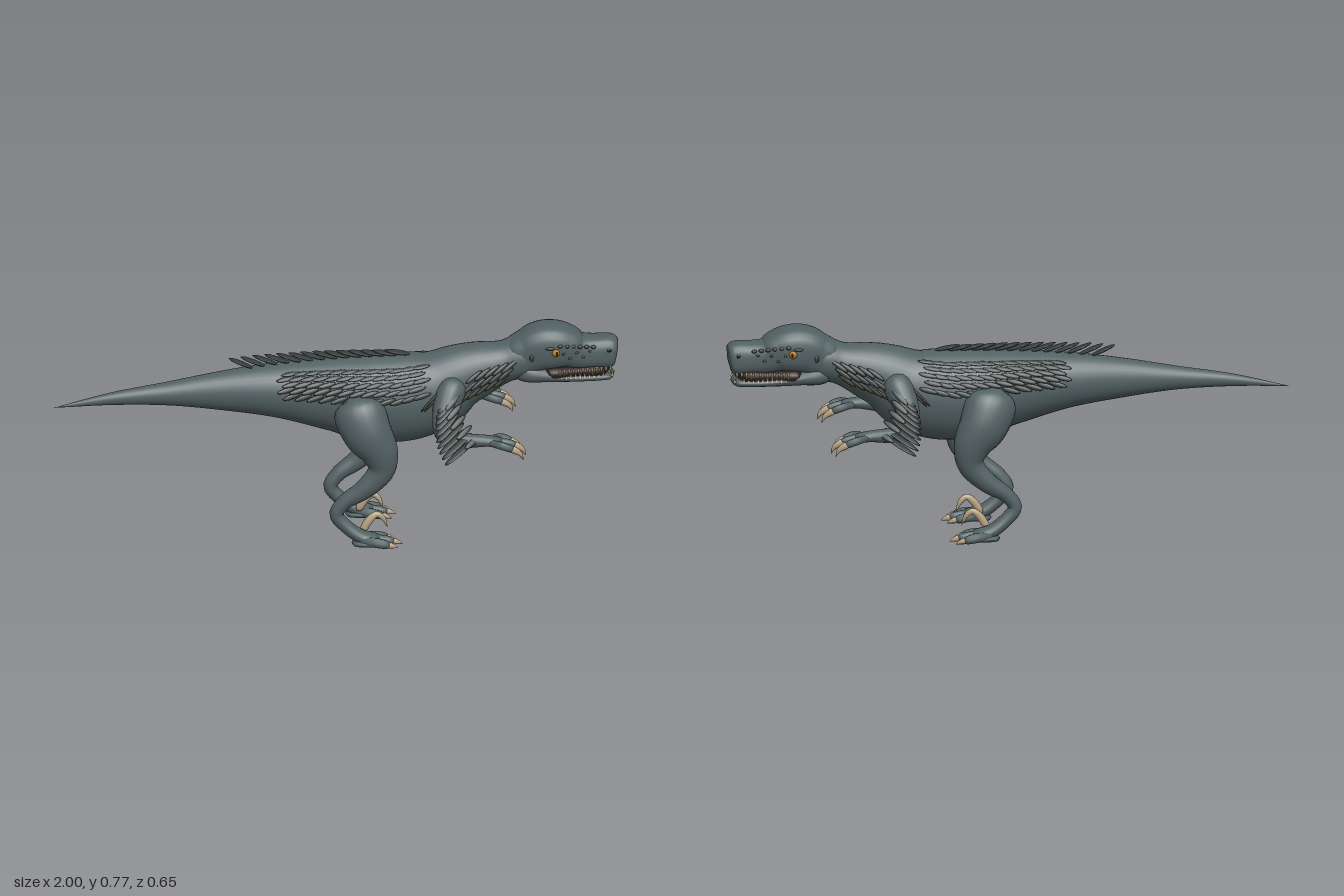
import * as THREE from 'three';
import { mergeVertices } from 'three/addons/utils/BufferGeometryUtils.js';

const mat = (name, color) => Object.assign(new THREE.MeshStandardMaterial({ color }), { name });
const V = (x, y, z) => new THREE.Vector3(x, y, z);
const sphere = new THREE.SphereGeometry(1, 10, 8);

// Tapered tube through points [x, y, z, vertical radius, side radius]; power > 2 squares the section
function limb(name, material, pts, { steps = 32, sides = 18, power = 2 } = {}) {
  const path = new THREE.CatmullRomCurve3(pts.map(p => V(p[0], p[1], p[2])));
  const radii = new THREE.CatmullRomCurve3(pts.map(p => V(p[3], p[4] ?? p[3], 0)), false, 'catmullrom', 0.5);
  const geo = new THREE.TubeGeometry(path, steps, 1, sides);
  const pos = geo.attributes.position, nor = geo.attributes.normal;
  for (let i = 0; i <= steps; i++) {
    const t = path.getUtoTmapping(i / steps);
    const c = path.getPoint(t), r = radii.getPoint(t);
    if (r.x < 0.0005) r.set(0, 0, 0);
    for (let j = 0; j <= sides; j++) {
      const k = i * (sides + 1) + j;
      const n = V(nor.getX(k), nor.getY(k), nor.getZ(k));
      const f = 1 / Math.pow(Math.pow(Math.hypot(n.x, n.y), power) + Math.pow(Math.abs(n.z), power), 1 / power);
      pos.setXYZ(k, c.x + n.x * r.x * f, c.y + n.y * r.x * f, c.z + n.z * r.y * f);
    }
  }
  geo.deleteAttribute('normal');
  geo.deleteAttribute('uv');
  const smooth = mergeVertices(geo, 1e-5);
  smooth.computeVertexNormals();
  const mesh = new THREE.Mesh(smooth, material);
  mesh.name = name;
  return mesh;
}

// Flattened ellipsoid starting at base and running along dir, facing normal
function feather(name, material, base, dir, normal, length, width, thick = 0.006) {
  const d = dir.clone().normalize();
  const side = normal.clone().cross(d).normalize();
  const up = d.clone().cross(side);
  const mesh = new THREE.Mesh(sphere, material);
  mesh.name = name;
  mesh.quaternion.setFromRotationMatrix(new THREE.Matrix4().makeBasis(d, side, up));
  mesh.scale.set(length / 2, width / 2, thick / 2);
  mesh.position.copy(base).addScaledVector(d, length / 2);
  return mesh;
}

function ball(name, material, x, y, z, rx, ry, rz) {
  const mesh = new THREE.Mesh(sphere, material);
  mesh.name = name;
  mesh.position.set(x, y, z);
  mesh.scale.set(rx, ry, rz);
  return mesh;
}

// Trunk sections: x, centre y, z, half height, half width
const BODY = [
  [-1, 0.5, 0, 0, 0], [-0.8, 0.528, 0, 0.022, 0.02], [-0.6, 0.542, 0, 0.042, 0.038],
  [-0.4, 0.548, 0, 0.072, 0.06], [-0.2, 0.545, 0, 0.102, 0.088], [0, 0.525, 0, 0.138, 0.113],
  [0.12, 0.508, 0, 0.16, 0.125], [0.25, 0.507, 0, 0.163, 0.125], [0.35, 0.53, 0, 0.148, 0.115],
  [0.44, 0.578, 0, 0.118, 0.1], [0.52, 0.607, 0, 0.098, 0.088], [0.6, 0.63, 0, 0.075, 0.075],
  [0.68, 0.65, 0, 0.075, 0.07], [0.74, 0.65, 0, 0, 0],
];
const trunkAt = x => {
  const i = Math.max(1, BODY.findIndex(s => s[0] >= x));
  const a = BODY[i - 1], b = BODY[i], t = (x - a[0]) / (b[0] - a[0]);
  return { y: a[1] + (b[1] - a[1]) * t, h: a[3] + (b[3] - a[3]) * t, w: a[4] + (b[4] - a[4]) * t };
};

export function createModel() {
  const skin = mat('slate skin', 0x526062), plume = mat('dark plumage', 0x363f3e);
  const quill = mat('olive quill', 0x3d3f31), claw = mat('tan claw', 0xb5a182);
  const tooth = mat('ivory tooth', 0xcfc09a), mouth = mat('dark mouth', 0x2b1d1c);
  const amber = mat('amber eye', 0xb87a18), black = mat('black pupil', 0x101010);
  const model = new THREE.Group();
  model.name = 'featheredDinosaur';
  const group = name => { const g = new THREE.Group(); g.name = name; model.add(g); return g; };

  model.add(limb('trunk', skin, BODY, { steps: 90, sides: 32 }));

  // Head, lower jaw and mouth lining
  const head = group('head');
  head.add(limb('skull', skin, [
    [0.58, 0.64, 0, 0, 0], [0.62, 0.642, 0, 0.06, 0.058], [0.68, 0.664, 0, 0.076, 0.074], [0.73, 0.685, 0, 0.083, 0.082],
    [0.78, 0.688, 0, 0.081, 0.083], [0.82, 0.68, 0, 0.073, 0.077], [0.86, 0.664, 0, 0.061, 0.067],
    [0.91, 0.66, 0, 0.058, 0.059], [0.96, 0.66, 0, 0.059, 0.056], [0.985, 0.658, 0, 0.054, 0.052],
    [0.998, 0.656, 0, 0.036, 0.036], [1, 0.655, 0, 0, 0]], { steps: 70, sides: 32, power: 2.9 }));
  head.add(limb('lowerJaw', skin, [
    [0.6, 0.61, 0, 0, 0], [0.66, 0.598, 0, 0.036, 0.066], [0.75, 0.588, 0, 0.029, 0.073], [0.85, 0.577, 0, 0.019, 0.065],
    [0.93, 0.575, 0, 0.017, 0.058], [0.975, 0.577, 0, 0.015, 0.05], [0.99, 0.579, 0, 0, 0]], { steps: 40, sides: 24, power: 2.5 }));
  head.add(limb('mouthLining', mouth, [
    [0.72, 0.597, 0, 0, 0], [0.75, 0.597, 0, 0.025, 0.07], [0.85, 0.597, 0, 0.025, 0.06],
    [0.95, 0.597, 0, 0.025, 0.049], [0.975, 0.597, 0, 0, 0]], { sides: 16, power: 4 }));

  // Spine plumes
  const spine = group('spinePlumes');
  for (let i = 0; i < 14; i++) {
    const x = 0.27 - i * 0.043, b = trunkAt(x);
    spine.add(feather('spinePlume', plume, V(x, b.y + b.h - 0.006, 0), V(-1, 0.18 + i * 0.02, 0), V(0, 1, 0), 0.1, 0.042, 0.012));
  }

  for (const s of [1, -1]) {
    const side = s > 0 ? 'right' : 'left';
    const P = (x, y, z) => V(x, y, z * s);
    const mirror = pts => pts.map(([x, y, z, ...r]) => [x, y, z * s, ...r]);

    // Eye, nostril, ear and brow scales
    const face = group(side + 'Face');
    face.add(ball('eye', amber, 0.775, 0.685, s * 0.083, 0.014, 0.014, 0.012));
    face.add(ball('pupil', black, 0.778, 0.686, s * 0.0935, 0.004, 0.008, 0.003));
    face.add(ball('nostril', black, 0.965, 0.677, s * 0.053, 0.01, 0.008, 0.004));
    face.add(ball('ear', plume, 0.69, 0.665, s * 0.075, 0.008, 0.013, 0.005));
    for (let i = 0; i < 6; i++) {
      const x = 0.79 + i * 0.024, z = 0.08 - i * 0.0048;
      face.add(ball('browScale', plume, x, 0.709 - i * 0.003, s * z, 0.01, 0.007, 0.006));
      if (i < 5) face.add(ball('cheekScale', plume, x + 0.012, 0.68 - (i % 2) * 0.02, s * (z - 0.001), 0.006, 0.005, 0.004));
    }
    face.add(ball('eyeRidge', plume, 0.755, 0.702, s * 0.08, 0.02, 0.006, 0.008));

    // Upper and lower teeth
    for (let i = 0; i < 12; i++) {
      const x = 0.79 + i * 0.0165, z = 0.074 - i * 0.0019;
      for (const up of [0, 1]) {
        const t = new THREE.Mesh(new THREE.ConeGeometry(0.006, up ? 0.018 : 0.025, 6), tooth);
        t.name = up ? 'lowerTooth' : 'upperTooth';
        t.position.set(x + up * 0.007, up ? 0.589 : 0.604, s * (z - up * 0.008));
        if (!up) t.rotation.x = Math.PI;
        face.add(t);
      }
    }

    // Flank plumes in staggered rows
    const flank = group(side + 'FlankPlumes');
    for (let r = 0; r < 5; r++) for (let i = 0; i < 12; i++) {
      const x = 0.33 - i * 0.042 - (r % 2) * 0.018, b = trunkAt(x), a = 0.22 + r * 0.18;
      const n = P(0, Math.sin(a), Math.cos(a));
      flank.add(feather('flankPlume', plume, P(x, b.y + b.h * Math.sin(a), b.w * Math.cos(a)),
        P(-1, -0.3, 0).addScaledVector(n, 0.22), n, 0.068, 0.018, 0.008));
    }

    // Neck plumes and long shoulder quills
    const neck = group(side + 'NeckPlumes');
    for (let r = 0; r < 3; r++) for (let i = 0; i < 5; i++) {
      const x = 0.64 - i * 0.032 - r * 0.014, b = trunkAt(x), a = 0.25 - r * 0.33;
      const n = P(0, Math.sin(a), Math.cos(a));
      neck.add(feather('neckPlume', r === 2 ? quill : plume, P(x, b.y + b.h * Math.sin(a), b.w * Math.cos(a)),
        P(-0.8, -0.55, 0.3), n, 0.075, 0.016, 0.008));
    }
    for (const k of [0, 1])
      neck.add(feather('shoulderQuill', quill, P(0.41 - k * 0.012, 0.605, 0.109), P(-0.11, -0.115, 0.02), P(0, 0.1, 1), 0.155, 0.01, 0.012));

    // Arm, fingers and claws
    const arm = group(side + 'Arm');
    arm.add(limb('armLimb', skin, mirror([
      [0.43, 0.6, 0.05, 0], [0.41, 0.57, 0.08, 0.05], [0.375, 0.49, 0.14, 0.043], [0.375, 0.425, 0.19, 0.033],
      [0.44, 0.418, 0.22, 0.027], [0.52, 0.42, 0.235, 0.02, 0.026], [0.565, 0.413, 0.235, 0.016, 0.03], [0.58, 0.41, 0.235, 0]])));
    for (const f of [-1, 0, 1]) {
      const z = 0.235 + f * 0.045, tip = f === 0 ? 0.012 : 0;
      arm.add(limb('finger', skin, mirror([[0.53, 0.417, 0.235 + f * 0.015, 0.012], [0.57, 0.415, z, 0.014],
        [0.605 + tip, 0.402, z, 0.012], [0.615 + tip, 0.397, z, 0]]), { steps: 12, sides: 10 }));
      arm.add(limb('fingerClaw', claw, mirror([[0.595 + tip, 0.408, z, 0], [0.605 + tip, 0.402, z, 0.013],
        [0.632 + tip, 0.385, z, 0.009], [0.645 + tip, 0.36, z, 0]]), { steps: 12, sides: 8 }));
    }

    // Wing plumes fanning from the shoulder to the wrist, with a shorter cover row
    for (let i = 0; i < 12; i++) {
      const t = i / 11;
      const base = P(0.42 - 0.12 * t * (1 - t) + 0.06 * t, 0.6 - 0.17 * t, 0.1 + 0.13 * t);
      const dir = P(-0.55 - 0.25 * t, -0.62 + 0.18 * t, 0.45 + 0.2 * t);
      arm.add(feather('wingPlume', plume, base, dir, P(-0.3, 0.75, 0.6), 0.09 + 0.075 * t, 0.027, 0.008));
      if (i % 2) arm.add(feather('wingCover', plume, base.clone().add(V(0.015, 0.008, 0)), dir, P(0.2, 0.6, 0.75), 0.08, 0.022, 0.008));
    }

    // Leg, foot, toes and raised sickle claw
    const leg = group(side + 'Leg');
    leg.add(limb('legLimb', skin, mirror([
      [0.06, 0.56, 0.09, 0, 0], [0.07, 0.51, 0.11, 0.085, 0.06], [0.1, 0.43, 0.135, 0.088, 0.07], [0.145, 0.35, 0.145, 0.067, 0.057],
      [0.15, 0.285, 0.147, 0.048, 0.042], [0.09, 0.215, 0.147, 0.036, 0.034], [0.02, 0.165, 0.14, 0.027, 0.028],
      [-0.008, 0.12, 0.138, 0.025, 0.027], [0.025, 0.075, 0.14, 0.024, 0.028], [0.08, 0.035, 0.143, 0.024, 0.034],
      [0.13, 0.024, 0.145, 0.02, 0.036], [0.16, 0.02, 0.145, 0, 0]]), { steps: 60, sides: 22 }));
    leg.add(limb('footPad', skin, mirror([[0.045, 0.012, 0.145, 0, 0], [0.055, 0.013, 0.145, 0.012, 0.028],
      [0.12, 0.017, 0.145, 0.016, 0.044], [0.165, 0.015, 0.145, 0, 0]]), { steps: 16 }));
    for (const f of [-1, 0, 1]) {
      const z = 0.146 + f * 0.041, tip = f === 0 ? 0.018 : 0;
      leg.add(limb('toe', skin, mirror([[0.08, 0.025, 0.145 + f * 0.018, 0.014], [0.13, 0.023, z - f * 0.006, 0.018],
        [0.17 + tip, 0.016, z, 0.014], [0.185 + tip, 0.012, z, 0]]), { steps: 14, sides: 10 }));
      leg.add(limb('toeClaw', claw, mirror([[0.165 + tip, 0.016, z, 0], [0.175 + tip, 0.015, z, 0.011],
        [0.195 + tip, 0.01, z, 0.007], [0.208 + tip, 0.003, z, 0]]), { steps: 10, sides: 8 }));
    }
    leg.add(limb('sickleClaw', claw, mirror([[0.085, 0.035, 0.102, 0], [0.09, 0.045, 0.102, 0.013], [0.112, 0.08, 0.1, 0.014],
      [0.138, 0.1, 0.099, 0.011], [0.16, 0.085, 0.097, 0.009], [0.178, 0.045, 0.093, 0]]), { steps: 24, sides: 10 }));
  }
  return model;
}
